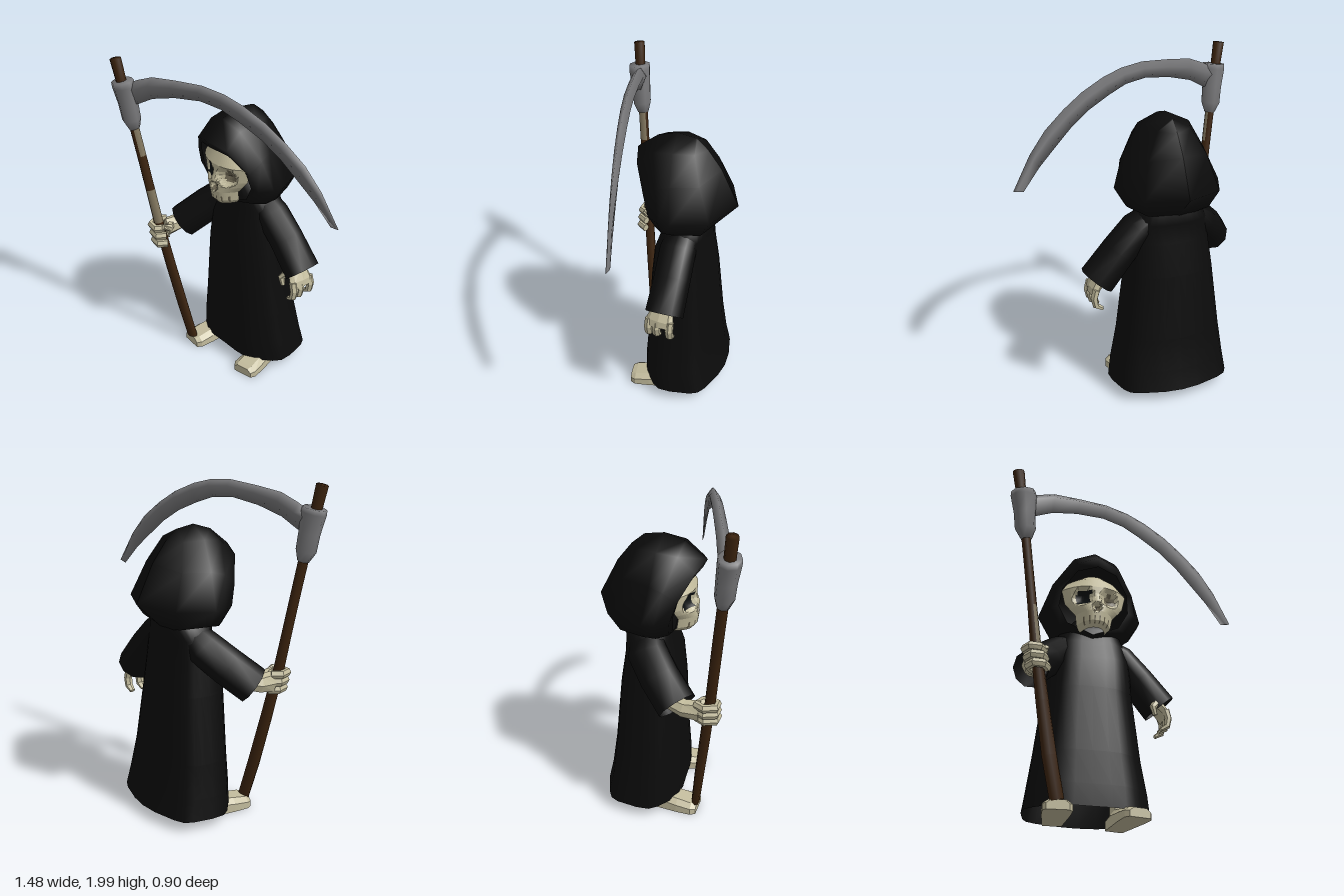
import * as THREE from 'three';

const mat = (name, color, flatShading = false) => {
  const m = new THREE.MeshStandardMaterial({ color, side: THREE.DoubleSide, flatShading });
  m.name = name;
  return m;
};
const V = (x, y, z) => new THREE.Vector3(x, y, z);
const CX = -0.145; // body centre line

// Skin a grid of rings; paint(i, j) optionally picks a material index per quad
function loft(rings, { closed = true, capStart = false, capEnd = false, paint } = {}) {
  const n = rings[0].length, pos = [], idx = [];
  const geo = new THREE.BufferGeometry();
  rings.forEach(r => r.forEach(p => pos.push(p.x, p.y, p.z)));
  const cols = closed ? n : n - 1;
  for (let i = 0; i < rings.length - 1; i++) {
    for (let j = 0; j < cols; j++) {
      const k = (j + 1) % n, a = i * n + j, b = i * n + k, c = a + n, d = b + n;
      if (paint) geo.addGroup(idx.length, 6, paint(i, j, rings[i][j]));
      idx.push(a, c, b, b, c, d);
    }
  }
  const cap = (i, flip) => {
    const c = rings[i].reduce((s, p) => s.add(p), V(0, 0, 0)).divideScalar(n);
    const m = pos.length / 3, start = idx.length;
    pos.push(c.x, c.y, c.z);
    for (let j = 0; j < n; j++) {
      const a = i * n + j, b = i * n + (j + 1) % n;
      flip ? idx.push(m, a, b) : idx.push(m, b, a);
    }
    if (paint) geo.addGroup(start, n * 3, 0);
  };
  if (capStart) cap(0, true);
  if (capEnd) cap(rings.length - 1, false);
  geo.setAttribute('position', new THREE.Float32BufferAttribute(pos, 3));
  geo.setIndex(idx);
  geo.computeVertexNormals();
  return geo;
}

// Elliptical rings along a path of [x, y, z, radiusAcross, radiusDeep]
function pathRings(path, sides, ref = V(0, 0, 1)) {
  const pts = path.map(p => V(p[0], p[1], p[2]));
  return pts.map((p, i) => {
    const t = pts[Math.min(i + 1, pts.length - 1)].clone().sub(pts[Math.max(i - 1, 0)]).normalize();
    const u = t.clone().cross(ref).normalize(), v = u.clone().cross(t);
    return Array.from({ length: sides }, (_, j) => {
      const a = j / sides * Math.PI * 2;
      return p.clone().addScaledVector(u, Math.cos(a) * path[i][3]).addScaledVector(v, Math.sin(a) * (path[i][4] ?? path[i][3]));
    });
  });
}
const rod = (path, sides, ref) => loft(pathRings(path, sides, ref), { capStart: true, capEnd: true });

export function createModel() {
  const cloth = mat('black cloth', 0x0b0b0b);
  const bone = mat('bone', 0xc3bc9d, true);
  const boneShade = mat('dark bone', 0x6a6350, true);
  const hollow = mat('eye hollow', 0x0a0e10);
  const wood = mat('dark wood', 0x3b230e);
  const worn = mat('worn wood', 0x82775f);
  const steel = mat('steel', 0x79797b);

  const model = new THREE.Group();
  const add = (name, geo, material, parent = model) => {
    const m = new THREE.Mesh(geo, material);
    m.name = name;
    parent.add(m);
    return m;
  };

  // Robe: [y, xMin, xMax, zBack, zFront], boxy ovals with soft folds near the hem
  const robe = [
    [0.07, -0.52, 0.24, -0.42, 0.08], [0.2, -0.5, 0.22, -0.39, 0.08], [0.4, -0.47, 0.18, -0.36, 0.07],
    [0.8, -0.42, 0.125, -0.32, 0.06], [1.0, -0.39, 0.11, -0.29, 0.04], [1.12, -0.37, 0.09, -0.28, 0.0],
    [1.2, -0.33, 0.05, -0.29, 0.0], [1.28, -0.25, -0.04, -0.24, -0.02]];
  const soft = c => Math.sign(c) * Math.abs(c) ** 0.8;
  add('robe', loft(robe.map(([y, x0, x1, z0, z1], i) => Array.from({ length: 28 }, (_, j) => {
    const a = -j / 28 * Math.PI * 2, f = 1 + 0.025 * (1 - i / 7) * (Math.sin(a * 7) - 1);
    return V((x0 + x1) / 2 + soft(Math.cos(a)) * f * (x1 - x0) / 2, y, (z0 + z1) / 2 + soft(Math.sin(a)) * f * (z1 - z0) / 2);
  })), { capEnd: true }), cloth);

  // Hood: half outlines from crown to chin [offset x, y, z], front opening to back ridge
  const hood = [
    [[0, 1.55, 0.16], [0.12, 1.525, 0.12], [0.2, 1.43, 0.06], [0.215, 1.32, 0.03], [0.16, 1.22, 0.02], [0, 1.15, 0.03]],
    [[0, 1.6, 0.185], [0.13, 1.565, 0.14], [0.235, 1.43, 0.06], [0.265, 1.31, 0.02], [0.2, 1.2, 0], [0, 1.14, 0.01]],
    [[0, 1.7, 0.06], [0.13, 1.655, 0.04], [0.25, 1.49, -0.02], [0.315, 1.31, -0.06], [0.25, 1.2, -0.06], [0, 1.14, -0.06]],
    [[0, 1.74, -0.06], [0.14, 1.675, -0.08], [0.23, 1.51, -0.1], [0.318, 1.31, -0.13], [0.26, 1.21, -0.13], [0, 1.15, -0.14]],
    [[0, 1.725, -0.17], [0.1, 1.67, -0.2], [0.18, 1.52, -0.26], [0.23, 1.32, -0.34], [0.19, 1.2, -0.28], [0, 1.15, -0.24]],
    [[0, 1.72, -0.18], [0, 1.66, -0.25], [0, 1.55, -0.335], [0, 1.33, -0.445], [0, 1.19, -0.3], [0, 1.15, -0.26]]];
  add('hood', loft(hood.map(r => [
    ...r.map(([x, y, z]) => V(CX + x, y, z)),
    ...r.slice(1, -1).reverse().map(([x, y, z]) => V(CX - x, y, z))])), cloth);

  // Skull face: rows [y, half width, front z] with dents for sockets and nose
  const rows = [[1.54, 0.1, 0.05], [1.5, 0.16, 0.09], [1.43, 0.2, 0.125], [1.34, 0.18, 0.125], [1.3, 0.15, 0.135],
    [1.26, 0.115, 0.14], [1.2, 0.105, 0.13], [1.165, 0.08, 0.1]];
  const ROWS = 28, COLS = 28, face = [];
  const dent = (x, y, cx, cy, r) => Math.max(0, 1 - Math.hypot(x - cx, y - cy) / r) ** 0.6;
  for (let i = 0; i <= ROWS; i++) {
    const f = i / ROWS * (rows.length - 1), k = Math.min(Math.floor(f), rows.length - 2);
    const [y, w, zf] = rows[k].map((a, q) => THREE.MathUtils.lerp(a, rows[k + 1][q], f - k));
    face.push(Array.from({ length: COLS + 1 }, (_, j) => {
      const u = j / COLS * 2 - 1, x = u * w;
      const z = zf - 0.1 * Math.abs(u) ** 2.5 - 0.05 * dent(Math.abs(x), y, 0.08, 1.365, 0.06)
        - 0.03 * dent(x, y, 0, 1.285, 0.03) + 0.018 * dent(x, y, 0, 1.335, 0.035);
      return V(CX + x, y, z);
    }));
  }
  add('skullFace', loft(face, {
    closed: false,
    paint: (i, j, p) => {
      const x = p.x - CX;
      if (Math.abs(x + 0.083) < 0.042 && Math.abs(p.y - 1.372) < 0.045) return 2;
      if (Math.hypot(x - 0.08, p.y - 1.37) < 0.04) return 1;
      if (Math.abs(x) < 0.02 && Math.abs(p.y - 1.283) < 0.018) return 1;
      return p.y < 1.235 && p.y > 1.19 && Math.abs(x) < 0.08 && j % 4 === 0 ? 1 : 0; // tooth gaps
    },
  }), [bone, boneShade, hollow]);

  // Sleeves, open at the cuffs
  add('rightSleeve', loft(pathRings([[-0.25, 1.15, -0.15, 0.06, 0.09], [-0.34, 1.07, -0.12, 0.1, 0.12],
    [-0.43, 0.97, -0.03, 0.11, 0.12], [-0.525, 0.855, 0.09, 0.11, 0.12]], 10)), cloth);
  add('leftSleeve', loft(pathRings([[-0.04, 1.16, -0.15, 0.06, 0.09], [0.06, 1.08, -0.15, 0.095, 0.11],
    [0.18, 0.95, -0.16, 0.105, 0.11], [0.32, 0.785, -0.165, 0.11, 0.115]], 10)), cloth);

  // Right hand gripping the staff
  const rightHand = new THREE.Group();
  rightHand.name = 'rightHand';
  model.add(rightHand);
  const up = V(0, 1, 0);
  add('rightForearm', rod([[-0.5, 0.88, 0.02, 0.045], [-0.535, 0.855, 0.13, 0.05, 0.055], [-0.54, 0.85, 0.22, 0.045, 0.065]], 7, up), bone, rightHand);
  for (let i = 0; i < 3; i++) {
    const y = 0.8 + i * 0.05, x = -0.012 * i;
    add('rightFinger', rod([[-0.53, y, 0.2], [-0.565, y, 0.25], [-0.54, y - 0.005, 0.315], [-0.485, y - 0.01, 0.32], [-0.455, y - 0.01, 0.27]]
      .map(p => [p[0] + x, p[1], p[2], 0.022, 0.026]), 6, up), bone, rightHand);
  }
  add('rightThumb', rod([[-0.52, 0.87, 0.2, 0.028], [-0.475, 0.88, 0.235, 0.026], [-0.47, 0.91, 0.29, 0.016]], 6), bone, rightHand);

  // Left hand hanging with curled fingers
  const leftHand = new THREE.Group();
  leftHand.name = 'leftHand';
  model.add(leftHand);
  add('leftPalm', rod([[0.24, 0.86, -0.15, 0.035, 0.05], [0.295, 0.79, -0.145, 0.04, 0.07], [0.335, 0.735, -0.14, 0.03, 0.085],
    [0.348, 0.7, -0.14, 0.02, 0.085]], 8), bone, leftHand);
  for (const z of [-0.075, -0.125, -0.207]) {
    add('leftFinger', rod([[0.335, 0.745, z, 0.024], [0.35, 0.69, z, 0.022, 0.026], [0.34, 0.64, z, 0.02, 0.025],
      [0.3, 0.615, z, 0.012, 0.018]], 6), bone, leftHand);
  }
  add('leftThumb', rod([[0.28, 0.79, -0.08, 0.025], [0.25, 0.75, -0.06, 0.022], [0.265, 0.7, -0.06, 0.014]], 6), bone, leftHand);

  // Feet and ankles: [x, toe z, outward turn]
  [['rightFoot', -0.345, 0.185, -0.08], ['leftFoot', 0.075, 0.14, 0.2]].forEach(([name, x, toe, turn]) => {
    const foot = new THREE.Group();
    foot.name = name;
    foot.position.set(x, 0, toe - 0.18);
    foot.rotation.y = turn;
    model.add(foot);
    const outline = [[-0.17, 0.055, 0.09], [-0.08, 0.065, 0.11], [0.06, 0.08, 0.085], [0.15, 0.083, 0.07], [0.18, 0.065, 0.06]];
    add(name + 'Sole', loft(outline.map(([z, w, h]) => [V(-w, 0.005, z), V(w, 0.005, z), V(w, h * 0.65, z), V(w * 0.6, h, z), V(-w * 0.6, h, z), V(-w, h * 0.65, z)]),
      { capStart: true, capEnd: true }), bone, foot);
    const ankle = add(name + 'Ankle', new THREE.CylinderGeometry(0.055, 0.06, 0.25, 8), bone, foot);
    ankle.position.set(0, 0.17, -0.1);
  });

  // Scythe staff, with worn patches on the side towards the body
  const staff = [[-0.365, 0.06, 0.17, 0.042, 0.025], [-0.42, 0.3, 0.2, 0.043, 0.028], [-0.475, 0.6, 0.24, 0.038, 0.03],
    [-0.53, 0.92, 0.28, 0.032, 0.03], [-0.562, 1.15, 0.305, 0.028, 0.03], [-0.595, 1.38, 0.33, 0.027, 0.03],
    [-0.627, 1.6, 0.355, 0.028, 0.03], [-0.665, 1.83, 0.385, 0.03, 0.032], [-0.692, 1.99, 0.402, 0.036, 0.034]];
  add('staff', loft(pathRings(staff, 8), {
    capStart: true, capEnd: true,
    paint: (i, j) => (i === 3 && (j < 2 || j === 7)) || (i === 5 && (j === 0 || j === 7)) ? 1 : 0,
  }), [wood, worn]);

  // Steel collar holding the blade
  add('bladeCollar', rod([[-0.62, 1.56, 0.35, 0.032, 0.035], [-0.63, 1.62, 0.36, 0.062, 0.055], [-0.64, 1.72, 0.37, 0.064, 0.058],
    [-0.652, 1.83, 0.385, 0.078, 0.065], [-0.656, 1.86, 0.388, 0.074, 0.064]], 8), steel);

  // Curved blade: [x, lower y, upper y, half thickness]
  const blade = [[-0.64, 1.72, 1.84, 0.03], [-0.57, 1.73, 1.88, 0.038], [-0.46, 1.79, 1.925, 0.036], [-0.3, 1.835, 1.945, 0.034],
    [-0.12, 1.86, 1.96, 0.032], [0.02, 1.845, 1.945, 0.03], [0.14, 1.8, 1.91, 0.028], [0.28, 1.735, 1.845, 0.025],
    [0.4, 1.655, 1.765, 0.021], [0.52, 1.55, 1.665, 0.016], [0.62, 1.46, 1.54, 0.011], [0.73, 1.335, 1.345, 0.002]];
  add('blade', loft(blade.map(([x, lo, hi, t]) => {
    const z = 0.36 - (x + 0.62) * 0.267, mid = lo + (hi - lo) * 0.65, lean = (x + 0.6) * 0.03;
    return [V(x + lean * 0.5, hi, z), V(x, mid, z + t), V(x - lean, lo, z), V(x, mid, z - t)];
  }), { capStart: true, capEnd: true }), steel);

  return model;
}
